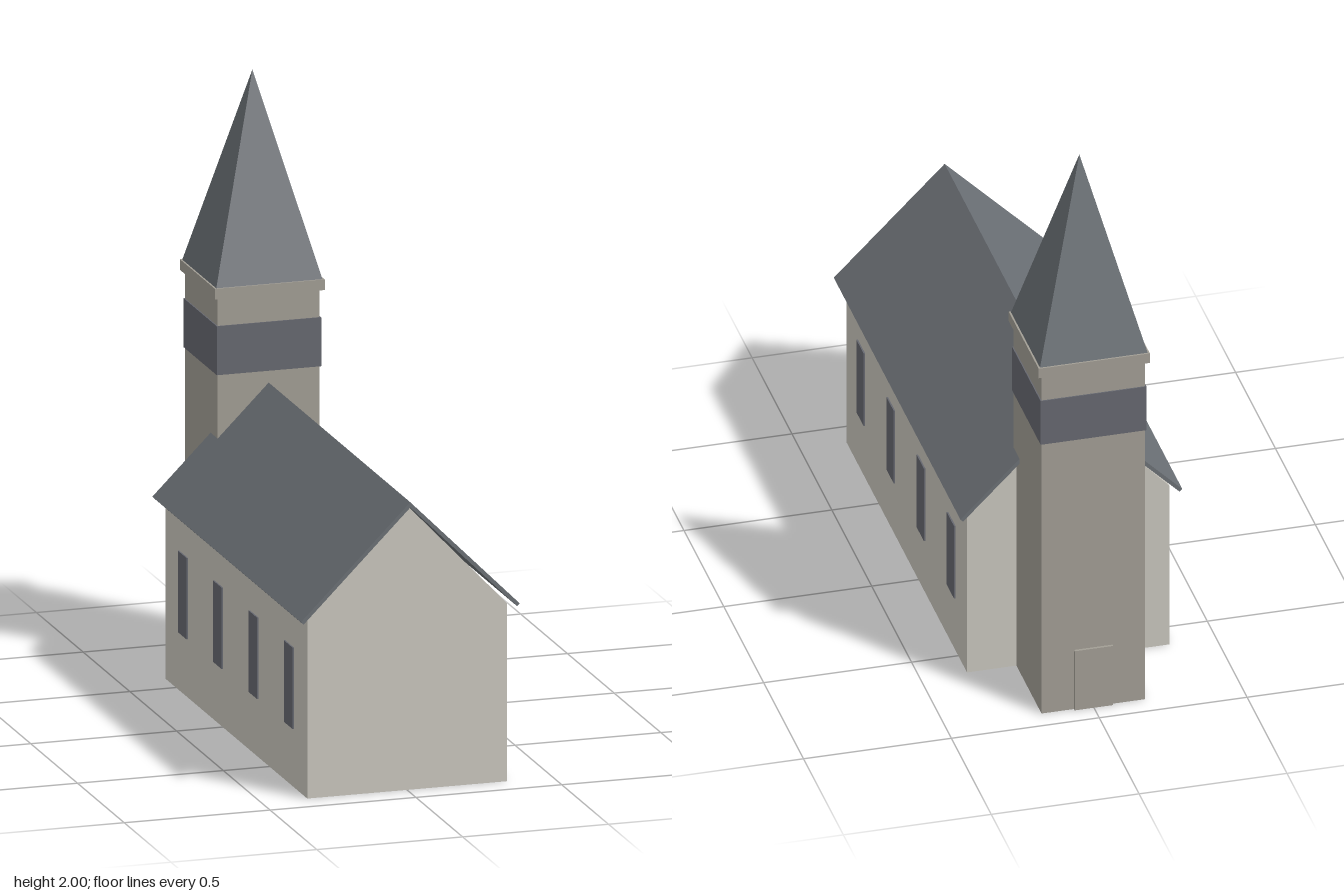
import * as THREE from 'three';

const material = (name, color, flatShading = false) => {
  const m = new THREE.MeshStandardMaterial({ color, flatShading });
  m.name = name;
  return m;
};

export function createModel() {
  const church = new THREE.Group();
  church.name = 'church';

  const plaster = material('pale plaster', 0xc9c6bd);
  const stone = material('tower stone', 0xa29e95);
  const slate = material('roof slate', 0x6b7075, true);
  const glass = material('dark glass', 0x666870);

  const add = (name, geometry, mat, x = 0, y = 0, z = 0) => {
    const mesh = new THREE.Mesh(geometry, mat);
    mesh.name = name;
    mesh.position.set(x, y, z);
    church.add(mesh);
    return mesh;
  };

  // Box given by its size, base height and centre
  const block = (name, mat, w, h, d, x, base, z) =>
    add(name, new THREE.BoxGeometry(w, h, d), mat, x, base + h / 2, z);

  // Cross-section in x and y, extruded from z0 to z1
  const prism = (name, mat, points, z0, z1) => {
    const shape = new THREE.Shape(points.map(([x, y]) => new THREE.Vector2(x, y)));
    const geometry = new THREE.ExtrudeGeometry(shape, { depth: z1 - z0, bevelEnabled: false });
    return add(name, geometry, mat, 0, 0, z0);
  };

  // Nave with gable and thin overhanging roof
  const navBack = -0.61, navFront = 0.905, wallTop = 0.605;
  block('naveWalls', plaster, 0.684, wallTop, navFront - navBack, 0, 0, (navFront + navBack) / 2);
  prism('naveGable', plaster, [[-0.342, wallTop], [0.342, wallTop], [0, 0.965]], navBack, navFront);
  prism('naveRoof', slate, [
    [0, 0.985], [-0.375, 0.61], [-0.366, 0.601],
    [0, 0.967], [0.366, 0.601], [0.375, 0.61],
  ], -0.65, 0.94);

  // Four narrow windows along each side
  for (const side of [-1, 1]) {
    for (let i = 0; i < 4; i++) {
      block(side > 0 ? 'leftWindow' : 'rightWindow', glass,
        0.009, 0.276, 0.092, side * 0.3425, 0.198, 0.715 - i * 0.378);
    }
  }

  // Tower with belfry band, cornice, spire and door
  const towerZ = -0.75;
  block('tower', stone, 0.35, 1.29, 0.35, 0, 0, towerZ);
  block('belfryBand', glass, 0.358, 0.166, 0.358, 0, 1.026, towerZ);
  block('cornice', stone, 0.376, 0.036, 0.376, 0, 1.286, towerZ);
  const spire = new THREE.ConeGeometry(0.182 * Math.SQRT2, 0.678, 4);
  spire.rotateY(Math.PI / 4);
  add('spire', spire, slate, 0, 1.322 + 0.339, towerZ);
  block('door', stone, 0.13, 0.225, 0.009, 0, 0, -0.9295);

  return church;
}
